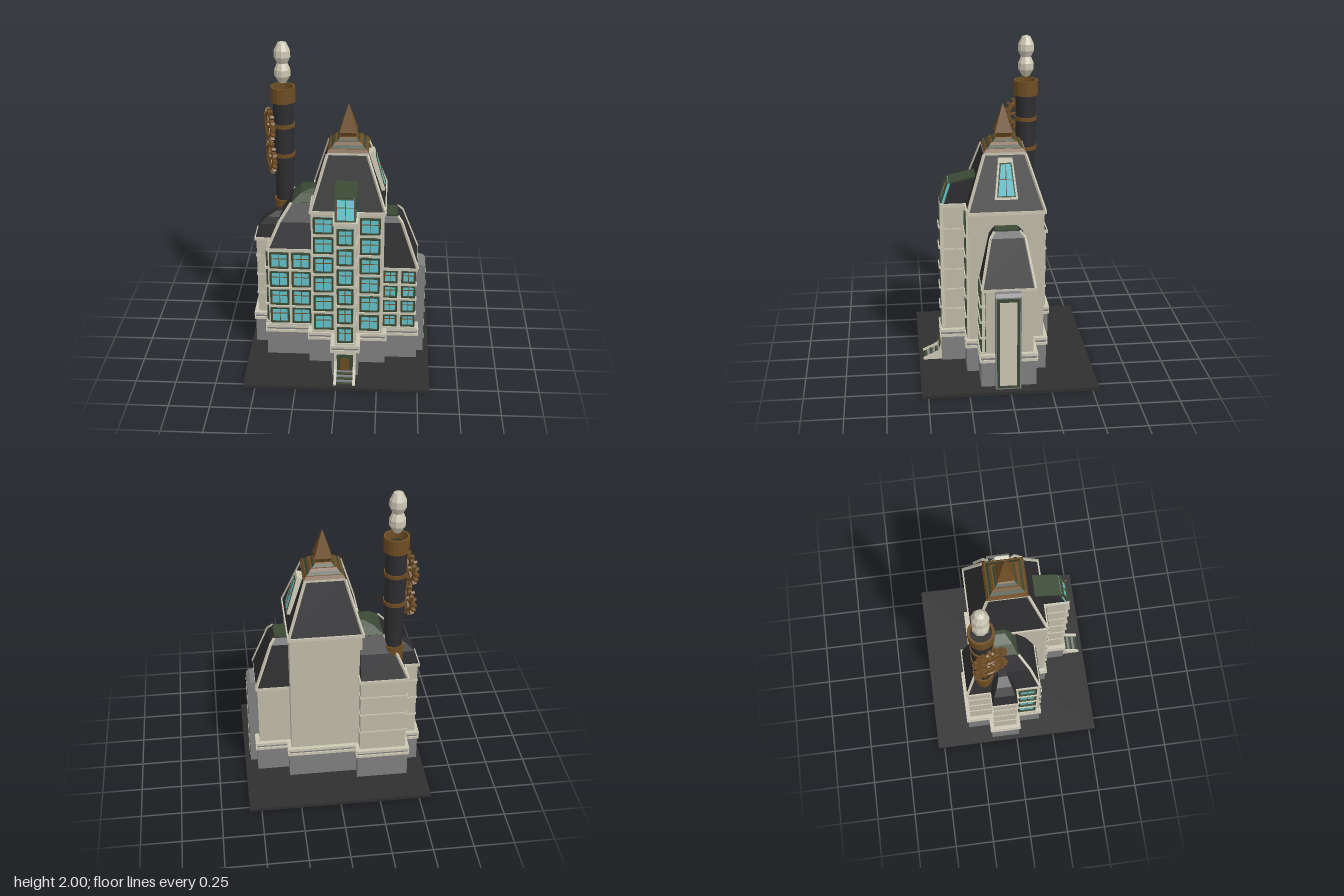
import * as THREE from 'three';

const mat = (color, side = THREE.FrontSide) => new THREE.MeshStandardMaterial({ color, flatShading: true, side });
const CREAM = mat(0xcbc7b4), STONE = mat(0x808080), SLATE = mat(0x2d2d2f), GREEN = mat(0x3a4934);
const BROWN = mat(0x6e4d23), GLASS = mat(0x62c4d0), PLATE = mat(0x2f2f2f), WALL = mat(0xbfbbaa);

function add(parent, name, geo, material, x = 0, y = 0, z = 0) {
  const m = new THREE.Mesh(geo, material);
  m.name = name;
  m.position.set(x, y, z);
  parent.add(m);
  return m;
}

// box given by its limits
const box = (p, name, material, x0, x1, y0, y1, z0, z1) =>
  add(p, name, new THREE.BoxGeometry(x1 - x0, y1 - y0, z1 - z0), material, (x0 + x1) / 2, (y0 + y1) / 2, (z0 + z1) / 2);

// square bar between two points
function bar(p, name, material, a, b, w) {
  const A = new THREE.Vector3(...a), B = new THREE.Vector3(...b);
  const m = add(p, name, new THREE.BoxGeometry(w, w, A.distanceTo(B)), material);
  m.position.copy(A).lerp(B, 0.5);
  m.lookAt(B);
}

// rectangle rings [y, x0, x1, z0, z1] joined into a closed hipped solid
const corners = ([y, x0, x1, z0, z1]) => [[x0, y, z1], [x1, y, z1], [x1, y, z0], [x0, y, z0]];
function loft(p, name, material, rings) {
  const pos = rings.flatMap(corners).flat(), idx = [0, 2, 1, 0, 3, 2], t = (rings.length - 1) * 4;
  for (let r = 0; r < t; r += 4)
    for (let i = 0; i < 4; i++) {
      const a = r + i, b = r + (i + 1) % 4;
      idx.push(a, b, b + 4, a, b + 4, a + 4);
    }
  idx.push(t, t + 1, t + 2, t, t + 2, t + 3);
  const g = new THREE.BufferGeometry();
  g.setAttribute('position', new THREE.Float32BufferAttribute(pos, 3));
  g.setIndex(idx);
  const flat = g.toNonIndexed();
  flat.computeVertexNormals();
  return add(p, name, flat, material);
}

// hipped roof with pale strips down the chosen corners
function roof(p, name, rings, ridgeCorners) {
  loft(p, name, SLATE, rings);
  for (const c of ridgeCorners)
    for (let r = 0; r < rings.length - 1; r++)
      bar(p, name + 'Ridge', CREAM, corners(rings[r])[c], corners(rings[r + 1])[c], 0.014);
}

function extrude(points, depth) {
  return new THREE.ExtrudeGeometry(new THREE.Shape(points.map(q => new THREE.Vector2(...q))), { depth, bevelEnabled: false });
}
// (z, y) profile running from x0 to x1
function profileX(p, name, material, points, x0, x1) {
  const m = add(p, name, extrude(points, x1 - x0), material, x1, 0, 0);
  m.rotation.y = -Math.PI / 2;
  return m;
}

// four-pane window facing local +z
function windowUnit(p, x, y, z, w, h, turn = 0, tilt = 0, sill = true) {
  const g = new THREE.Group();
  g.name = 'window';
  g.position.set(x, y, z);
  g.rotation.set(tilt, turn, 0, 'YXZ');
  const a = w / 2, b = h / 2, f = 0.009;
  box(g, 'glass', GLASS, -a, a, -b, b, -0.01, 0.004);
  for (const s of [-1, 1]) {
    add(g, 'frameSide', new THREE.BoxGeometry(f, h, 0.03), GREEN, s * (a - f / 2), 0, 0);
    add(g, 'frameRail', new THREE.BoxGeometry(w, f, 0.03), GREEN, 0, s * (b - f / 2), 0);
    add(g, 'sash', new THREE.BoxGeometry(0.004, h - 2 * f, 0.016), BROWN, s * (a - f - 0.002), 0, 0);
  }
  add(g, 'mullion', new THREE.BoxGeometry(0.004, h - 0.01, 0.016), BROWN);
  add(g, 'transom', new THREE.BoxGeometry(w - 0.01, 0.004, 0.016), BROWN, 0, h * 0.1, 0);
  if (sill) box(g, 'sill', CREAM, -a - 0.008, a + 0.008, -b - 0.014, -b, -0.01, 0.022);
  p.add(g);
}

function gear(p, x, y, z, turn) {
  const g = new THREE.Group();
  g.name = 'gear';
  add(g, 'gearRim', new THREE.TorusGeometry(0.074, 0.015, 6, 24), BROWN);
  add(g, 'gearHub', new THREE.CylinderGeometry(0.022, 0.022, 0.035, 10).rotateX(Math.PI / 2), BROWN);
  for (let i = 0; i < 16; i++) {
    const a = i * Math.PI / 8;
    const t = add(g, 'gearTooth', new THREE.BoxGeometry(0.026, 0.016, 0.024), BROWN, Math.cos(a) * 0.095, Math.sin(a) * 0.095, 0);
    t.rotation.z = a;
  }
  for (let i = 0; i < 3; i++) add(g, 'gearSpoke', new THREE.BoxGeometry(0.14, 0.012, 0.016), BROWN).rotation.z = i * Math.PI / 3;
  g.position.set(x, y, z);
  g.rotation.y = turn;
  p.add(g);
}

export function createModel() {
  const G = new THREE.Group();
  G.name = 'house';
  box(G, 'groundPlate', PLATE, -0.575, 0.575, 0, 0.02, -0.54, 0.54);

  // wall blocks with stone plinth and cornice: x0, x1, z0, z1, top
  const blocks = {
    tower: [-0.165, 0.28, -0.23, 0.23, 1.07],
    bay: [-0.015, 0.115, 0.2, 0.38, 1.07],
    leftRear: [-0.44, -0.15, -0.3, 0.15, 0.77],
    leftEnd: [-0.53, -0.4, -0.15, 0, 0.77],
    rightWing: [0.25, 0.48, -0.145, 0.158, 0.66],
  };
  for (const [n, [x0, x1, z0, z1, top]] of Object.entries(blocks)) {
    const ring = (name, m, y0, y1, d) => box(G, n + name, m, x0 - d, x1 + d, y0, y1, z0 - d, z1 + d);
    ring('Wall', WALL, 0.02, top, 0);
    ring('Plinth', STONE, 0.02, 0.185, 0.017);
    ring('CorniceLow', CREAM, 0.185, 0.202, 0.026);
    ring('CorniceMid', STONE, 0.202, 0.218, 0.018);
    ring('CorniceHigh', CREAM, 0.218, 0.236, 0.026);
    ring('Eave', CREAM, top - 0.016, top + 0.004, 0.011);
    if (n === 'bay' || n.startsWith('left'))
      for (let y = 0.375; y < top - 0.06; y += 0.134) ring('FloorBand', CREAM, y - 0.006, y + 0.003, 0.005);
  }

  // windows
  for (let r = 0; r < 6; r++) {
    const y = 0.308 + r * 0.1345;
    windowUnit(G, -0.09, y, 0.232, 0.125, 0.108);
    windowUnit(G, 0.05, y, 0.382, 0.1, 0.108);
    windowUnit(G, 0.195, y, 0.232, 0.125, 0.108);
  }
  for (let r = 0; r < 4; r++) {
    const y = 0.303 + r * 0.13;
    for (const x of [-0.373, -0.235]) windowUnit(G, x, y, 0.152, 0.12, 0.108);
    windowUnit(G, -0.442, y, 0.08, 0.115, 0.108, -Math.PI / 2);
    for (const x of [0.322, 0.435]) windowUnit(G, x, 0.29 + r * 0.104, 0.16, 0.09, 0.085);
  }
  // pale pilasters between the windows
  for (const x of [-0.158, -0.024, 0.125, 0.272]) box(G, 'towerPilaster', CREAM, x - 0.007, x + 0.007, 0.236, 1.06, 0.22, 0.243);
  for (const x of [-0.01, 0.11]) box(G, 'bayPilaster', CREAM, x - 0.006, x + 0.006, 0.236, 1.06, 0.37, 0.393);
  for (const x of [-0.436, -0.304, -0.172]) box(G, 'leftPilaster', CREAM, x - 0.006, x + 0.006, 0.236, 0.76, 0.14, 0.162);
  for (const x of [0.378, 0.476]) box(G, 'rightPilaster', CREAM, x - 0.006, x + 0.006, 0.236, 0.65, 0.15, 0.168);

  // tower roof, stepped cap and spire
  roof(G, 'towerRoof', [[1.07, -0.168, 0.284, -0.233, 0.233], [1.4, -0.07, 0.17, -0.123, 0.123]], [0, 1, 2, 3]);
  const tiers = [[CREAM, 1.395, 1.41, 0.125, 0.125], [BROWN, 1.41, 1.43, 0.125, 0.112], [GREEN, 1.43, 1.447, 0.106, 0.088],
    [BROWN, 1.447, 1.462, 0.09, 0.076], [GREEN, 1.462, 1.474, 0.068, 0.055], [BROWN, 1.474, 1.482, 0.055, 0.045]];
  for (const [m, y0, y1, a, b] of tiers)
    loft(G, 'capTier', m, [[y0, 0.053 - a, 0.053 + a, -a, a], [y1, 0.053 - b, 0.053 + b, -b, b]]);
  loft(G, 'spire', BROWN, [[1.44, 0.035, 0.071, -0.018, 0.018], [1.51, -0.001, 0.107, -0.054, 0.054], [1.68, 0.052, 0.054, -0.001, 0.001]]);

  // front dormer above the bay
  profileX(G, 'frontDormer', SLATE, [[0.15, 1.07], [0.375, 1.07], [0.33, 1.21], [0.15, 1.25]], -0.012, 0.112);
  profileX(G, 'frontDormerTop', GREEN, [[0.14, 1.247], [0.335, 1.204], [0.335, 1.214], [0.14, 1.259]], -0.018, 0.118);
  windowUnit(G, 0.05, 1.143, 0.355, 0.126, 0.14, 0, -0.31, false);

  // side dormer: tapered surround and window
  const side = new THREE.Group();
  side.name = 'sideDormer';
  side.position.set(0.25, 1.14, 0);
  side.rotation.set(-0.28, Math.PI / 2, 0, 'YXZ');
  add(side, 'surround', extrude([[-0.07, 0], [0.07, 0], [0.042, 0.25], [-0.042, 0.25]], 0.04), CREAM, 0, 0, -0.01);
  add(side, 'darkFrame', extrude([[-0.056, 0.015], [0.056, 0.015], [0.035, 0.22], [-0.035, 0.22]], 0.004), GREEN, 0, 0, 0.03);
  add(side, 'glass', extrude([[-0.048, 0.023], [0.048, 0.023], [0.028, 0.212], [-0.028, 0.212]], 0.004), GLASS, 0, 0, 0.032);
  box(side, 'mullion', BROWN, -0.002, 0.002, 0.02, 0.215, 0.03, 0.04);
  box(side, 'transom', BROWN, -0.037, 0.037, 0.12, 0.124, 0.03, 0.04);
  G.add(side);

  // left wing roofs
  roof(G, 'leftRoof', [[0.77, -0.444, -0.15, -0.305, 0.155], [0.93, -0.372, -0.15, -0.245, 0.1], [1.035, -0.3, -0.15, -0.19, 0.035]], [0, 3]);
  loft(G, 'leftRoofTop', GREEN, [[1.035, -0.298, -0.15, -0.188, 0.033], [1.085, -0.245, -0.15, -0.16, 0.005], [1.108, -0.18, -0.15, -0.12, -0.03]]);
  roof(G, 'leftEndRoof', [[0.77, -0.535, -0.36, -0.155, 0.005], [0.86, -0.505, -0.345, -0.14, -0.01], [0.905, -0.46, -0.345, -0.12, -0.025],
    [0.94, -0.4, -0.345, -0.1, -0.045]], []);

  // right wing roof
  roof(G, 'rightRoof', [[0.66, 0.25, 0.49, -0.152, 0.166], [0.945, 0.25, 0.388, -0.1, 0.106], [0.98, 0.25, 0.36, -0.07, 0.08]], [1, 2]);
  box(G, 'rightRoofTop', GREEN, 0.25, 0.358, 0.975, 0.987, -0.065, 0.075);

  // tall niche at the end of the right wing
  add(G, 'nicheBody', extrude([[0.47, 0.02], [0.54, 0.02], [0.54, 0.63], [0.52, 0.648], [0.47, 0.652]], 0.155), STONE, 0, 0, -0.065);
  box(G, 'nicheFrame', GREEN, 0.53, 0.542, 0.028, 0.622, -0.055, 0.082);
  box(G, 'nichePanel', CREAM, 0.53, 0.544, 0.045, 0.6, -0.038, 0.066);

  // door and front steps
  box(G, 'doorSurround', CREAM, -0.018, 0.118, 0.02, 0.185, 0.37, 0.402);
  box(G, 'doorFrame', GREEN, 0, 0.1, 0.02, 0.172, 0.38, 0.408);
  box(G, 'door', BROWN, 0.023, 0.077, 0.06, 0.15, 0.38, 0.412);
  for (let i = 0; i < 6; i++) box(G, 'step', i % 2 ? STONE : GREEN, 0, 0.1, 0.02, 0.026 + i * 0.007, 0.39, 0.505 - i * 0.017);
  for (const x of [-0.017, 0.1])
    profileX(G, 'stepCheek', CREAM, [[0.38, 0.02], [0.515, 0.02], [0.515, 0.028], [0.455, 0.055], [0.42, 0.075], [0.402, 0.12], [0.38, 0.16]], x, x + 0.017);

  // chimney stack with collars, open crown and pale puffs
  const stack = new THREE.Group();
  stack.name = 'chimney';
  stack.position.set(-0.36, 0, -0.188);
  G.add(stack);
  const cyl = (name, m, r0, r1, y0, y1) => add(stack, name, new THREE.CylinderGeometry(r1, r0, y1 - y0, 16), m, 0, (y0 + y1) / 2, 0);
  cyl('pipe', SLATE, 0.05, 0.064, 0.85, 1.25);
  cyl('upperPipe', SLATE, 0.064, 0.064, 1.25, 1.66);
  cyl('footCollar', BROWN, 0.06, 0.066, 0.82, 0.97);
  for (const y of [1.275, 1.468]) cyl('collar', BROWN, 0.071, 0.071, y - 0.012, y + 0.012);
  const lathe = pts => new THREE.LatheGeometry(pts.map(q => new THREE.Vector2(...q)), 16);
  add(stack, 'crown', lathe([[0.06, 1.62], [0.077, 1.62], [0.077, 1.715], [0.063, 1.715], [0.063, 1.63]]), mat(0x6e4d23, THREE.DoubleSide));
  const puffs = [[0, 1.735], [0.022, 1.74], [0.05, 1.785], [0.05, 1.825], [0.032, 1.865], [0.052, 1.905], [0.05, 1.945], [0.028, 1.99], [0, 2]];
  add(stack, 'puffs', new THREE.LatheGeometry(puffs.map(q => new THREE.Vector2(...q)), 9), CREAM);

  // meshing gears beside the stack
  const turn = Math.atan2(-0.94, 0.33);
  gear(G, -0.443, 1.475, -0.152, turn);
  gear(G, -0.437, 1.265, -0.15, turn);
  for (const y of [1.475, 1.265]) bar(G, 'gearAxle', BROWN, [-0.45, y, -0.15], [-0.36, y, -0.188], 0.018);
  return G;
}
